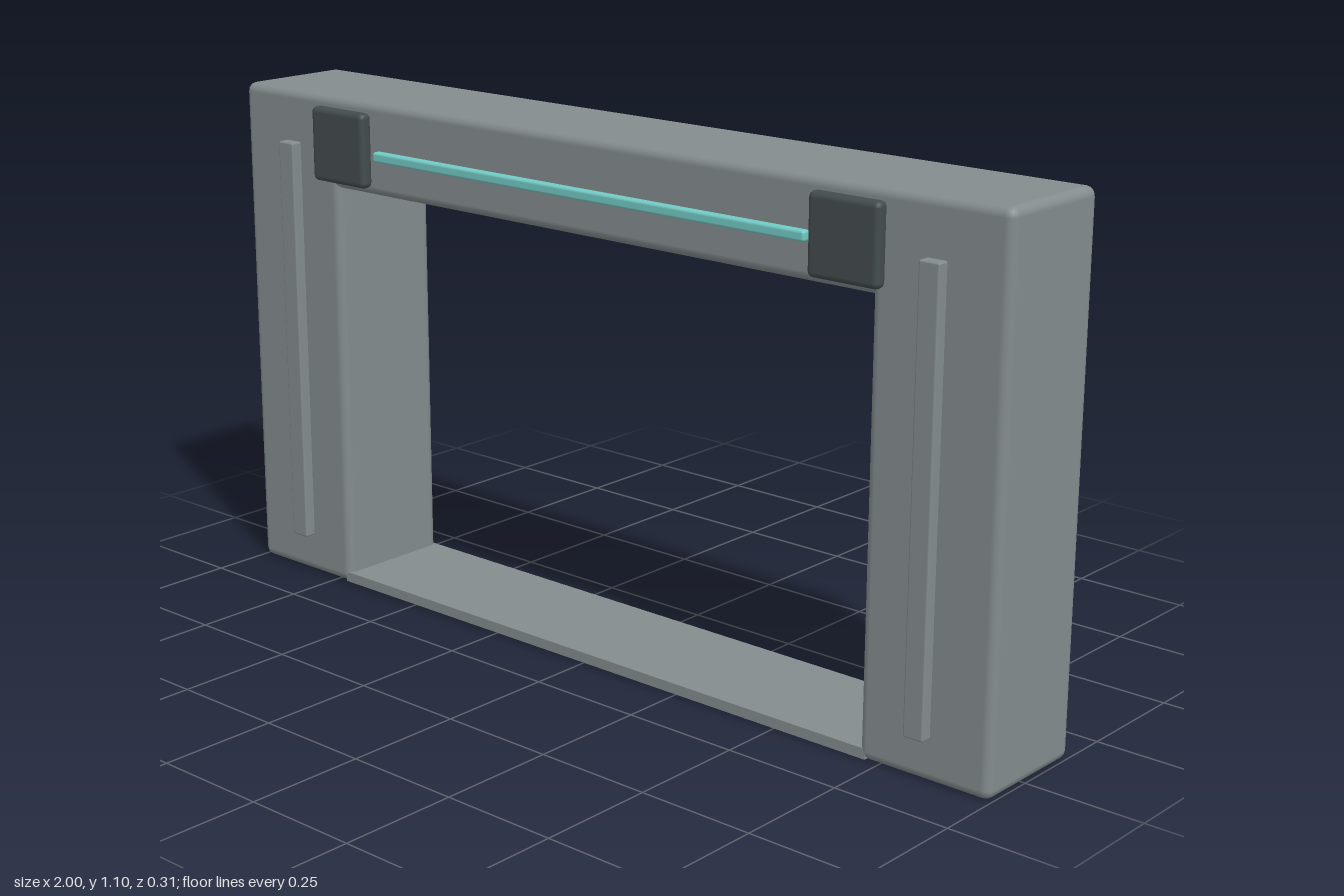
import * as THREE from 'three';
import { RoundedBoxGeometry } from 'three/addons/geometries/RoundedBoxGeometry.js';

function material(name, color) {
  const m = new THREE.MeshStandardMaterial({ color });
  m.name = name;
  return m;
}

export function createModel() {
  const group = new THREE.Group();
  group.name = 'gateFrame';
  const grey = material('frame grey', 0x848c8e);
  const dark = material('dark panel', 0x434c4f);
  const teal = material('teal light', 0x73cbc5);

  // Box from its limits on each axis; a radius rounds the edges
  function block(name, mat, [x0, x1], [y0, y1], [z0, z1], radius = 0) {
    const size = [x1 - x0, y1 - y0, z1 - z0];
    const geometry = radius
      ? new RoundedBoxGeometry(...size, 2, radius)
      : new THREE.BoxGeometry(...size);
    const mesh = new THREE.Mesh(geometry, mat);
    mesh.name = name;
    mesh.position.set((x0 + x1) / 2, (y0 + y1) / 2, (z0 + z1) / 2);
    group.add(mesh);
  }

  // Frame: top beam and floor sill
  const depth = [-0.149, 0.12];
  block('topBeam', grey, [-1, 1], [0.9, 1.1], depth, 0.02);
  block('floorSill', grey, [-0.72, 0.72], [0.002, 0.024], [-0.147, 0.118]);

  // Mirrored parts on the right (-x) and left (+x)
  for (const [side, s] of [['right', -1], ['left', 1]]) {
    const span = (a, b) => (s > 0 ? [a, b] : [-b, -a]);
    block(side + 'Post', grey, span(0.705, 1), [0, 1.1], depth, 0.02);
    // Raised rib running through the post, showing on both faces
    block(side + 'Rib', grey, span(0.822, 0.867), [0.088, 0.988], [-0.156, 0.144], 0.004);
    // Dark square panel standing just off the beam
    block(side + 'Panel', dark, span(0.585, 0.745), [0.92, 1.08], [0.127, 0.157], 0.012);
  }

  // Light strip between the panels
  block('lightStrip', teal, [-0.57, 0.57], [0.979, 1.001], [0.123, 0.144], 0.006);

  return group;
}
